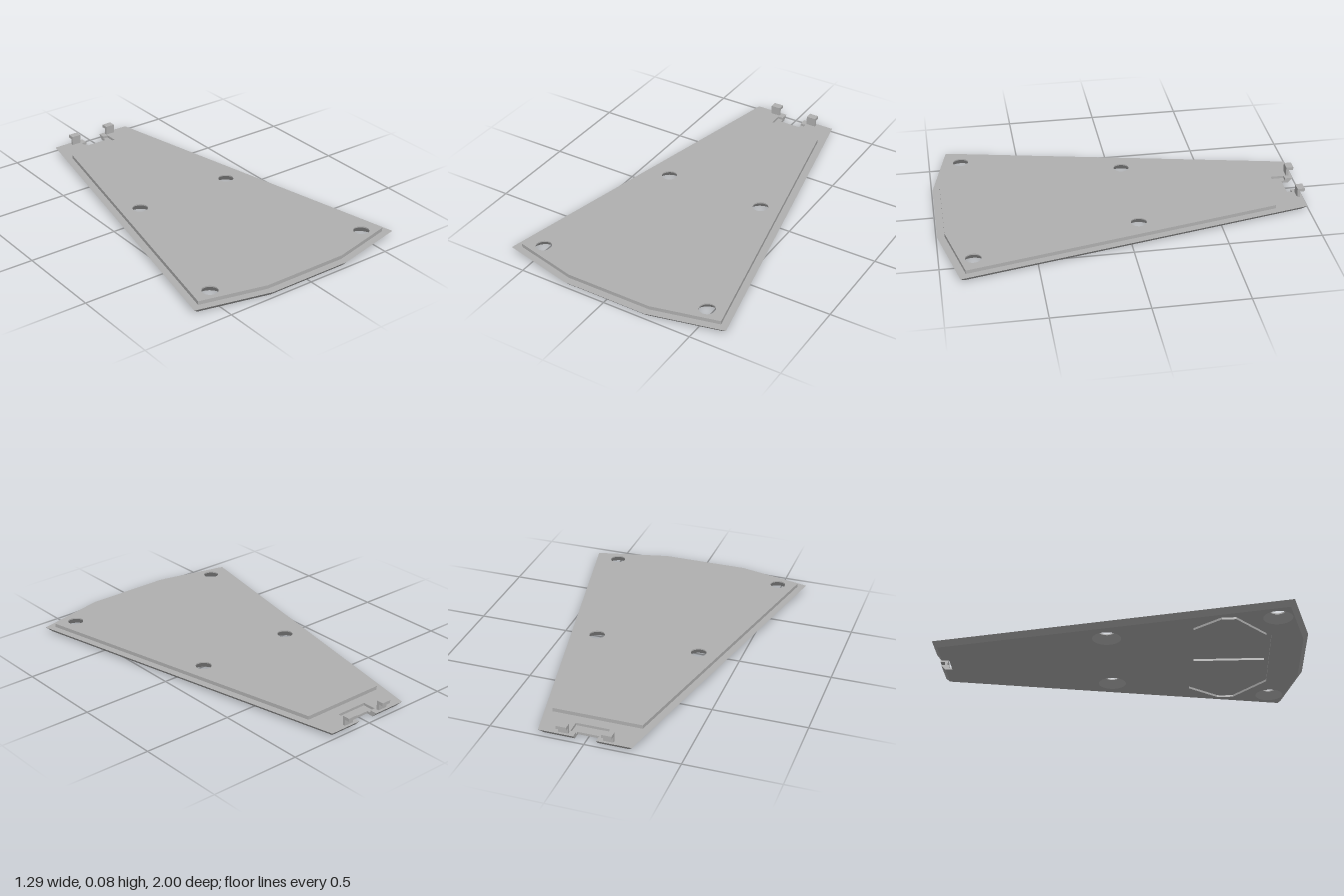
import * as THREE from 'three';
import { mergeGeometries, toCreasedNormals } from 'three/addons/utils/BufferGeometryUtils.js';

// Loops are lists of [x, z]; solids run front-left to front-right, voids run the other way.
const mirror = (pts) => pts.map(([x, z]) => [-x, z]).reverse();
const reversed = (pts) => [...pts].reverse();

// Strip of quads between a lower and an upper loop
function wall(lower, y0, upper, y1, closed = true) {
  const pos = [];
  const n = lower.length;
  for (let i = 0; i < (closed ? n : n - 1); i++) {
    const j = (i + 1) % n;
    const a = [lower[i][0], y0, lower[i][1]], b = [lower[j][0], y0, lower[j][1]];
    const c = [upper[j][0], y1, upper[j][1]], d = [upper[i][0], y1, upper[i][1]];
    pos.push(...a, ...b, ...c, ...a, ...c, ...d);
  }
  const g = new THREE.BufferGeometry();
  g.setAttribute('position', new THREE.Float32BufferAttribute(pos, 3));
  return toCreasedNormals(g, 0.5);
}

// Flat face at height y, facing up or down
function cap(loop, holes, y, up) {
  const s = up ? -1 : 1;
  const v = (pts) => pts.map(([x, z]) => new THREE.Vector2(x, s * z));
  const shape = new THREE.Shape(v(loop));
  holes.forEach((h) => shape.holes.push(new THREE.Path(v(h))));
  const g = new THREE.ShapeGeometry(shape).toNonIndexed();
  g.deleteAttribute('uv');
  return g.rotateX(s * Math.PI / 2).translate(0, y, 0);
}

// Circle in void order
function circle([x, z], r, n = 32) {
  return Array.from({ length: n }, (_, i) => {
    const t = (i / n) * Math.PI * 2;
    return [x + r * Math.cos(t), z + r * Math.sin(t)];
  });
}

export function createModel() {
  const model = new THREE.Group();
  const grey = new THREE.MeshStandardMaterial({ color: 0xb0b0b0 });
  grey.name = 'grey';
  const add = (name, ...geos) => {
    const mesh = new THREE.Mesh(geos.length > 1 ? mergeGeometries(geos) : geos[0], grey);
    mesh.name = name;
    model.add(mesh);
  };

  const plateY = 0.027, panelY = 0.047, recessY = 0.013, grooveY = 0.012, sinkY = 0.04;

  // Outlines
  const topHalf = [[0.24, 0.995], [0.645, 0.9], [0.245, -0.99], [0.06, -0.99]];
  const bottomHalf = [[0.235, 0.97], [0.614, 0.881], [0.222, -0.965], [0.06, -0.965]];
  const recess = [[0.06, -0.947], [0.09, -0.947], [0.09, -0.873], [-0.09, -0.873], [-0.09, -0.947], [-0.06, -0.947]];
  const notch = [[0.06, -0.947], [0.06, -0.926], [-0.06, -0.926], [-0.06, -0.947]];
  const panelHalf = [[0.24, 0.955], [0.6, 0.87], [0.24, -0.815]];
  const panel = [...panelHalf, ...mirror(panelHalf)];
  const grooveHalf = [[0.3, 0.8], [0.51, 0.62], [0.51, 0.53], [0.38, 0.37]];
  const groove = [...grooveHalf, ...mirror(grooveHalf)];
  const island = [[0.0125, 0.775], [0.292, 0.775], [0.487, 0.612], [0.487, 0.538], [0.37, 0.395], [0.0125, 0.395]];
  const islands = [island, mirror(island)];
  const centres = [[0.29, -0.06], [-0.29, -0.06], [0.494, 0.824], [-0.494, 0.824]];
  const narrow = centres.map((c) => circle(c, 0.042));
  const wide = centres.map((c) => circle(c, 0.076));

  // Base plate with bevelled rim, latch notch and underside groove
  const side = (half) => [...mirror(half), ...half];
  add('basePlate',
    cap([...topHalf, ...recess, ...mirror(topHalf)], [panel], plateY, true),
    cap([...bottomHalf, ...notch, ...mirror(bottomHalf)], [groove, ...wide], 0, false),
    wall(side(bottomHalf), 0, side(topHalf), plateY, false));
  add('latchNotch',
    wall([bottomHalf[3], recess[0]], 0, [topHalf[3], recess[0]], plateY, false),
    wall(mirror([bottomHalf[3], recess[0]]), 0, mirror([topHalf[3], recess[0]]), plateY, false),
    wall(notch, 0, notch, recessY, false),
    wall(recess, recessY, recess, plateY, false),
    cap([...recess, ...reversed(notch).slice(1, 3)], [], recessY, true));
  add('undersideGroove',
    cap(groove, [], grooveY, false),
    wall(reversed(groove), 0, reversed(groove), grooveY),
    ...islands.flatMap((p) => [cap(p, [], 0, false), wall(p, 0, p, grooveY)]));

  // Raised panel on top
  add('raisedPanel', cap(panel, narrow, panelY, true), wall(panel, plateY, panel, panelY));

  // Countersunk screw holes, wide underneath
  centres.forEach((_, i) => add('screwHole',
    wall(wide[i], 0, narrow[i], sinkY),
    wall(narrow[i], sinkY, narrow[i], panelY)));

  // Two hooked clips at the back edge
  for (const s of [-1, 1]) {
    const hook = new THREE.Shape([[0.96, 0.027], [0.975, 0.027], [0.975, 0.06], [1, 0.06], [1, 0.077], [0.96, 0.077]]
      .map(([x, y]) => new THREE.Vector2(x, y)));
    const g = new THREE.ExtrudeGeometry(hook, { depth: 0.054, bevelEnabled: false });
    g.translate(0, 0, -0.027).rotateY(Math.PI / 2).translate(s * 0.118, 0, 0);
    add(s > 0 ? 'leftClip' : 'rightClip', g);
  }
  return model;
}
